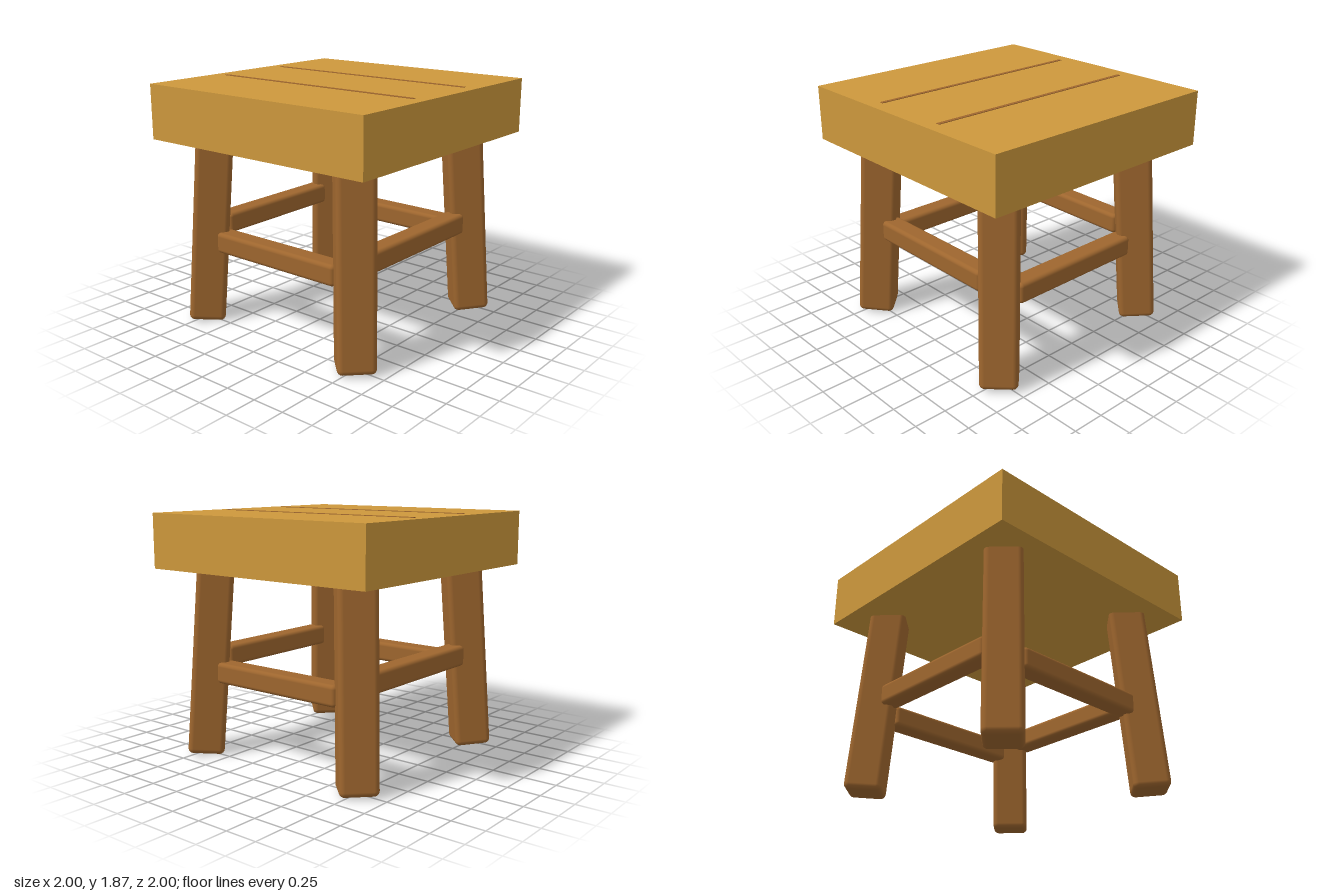
import * as THREE from 'three';
import { RoundedBoxGeometry } from 'three/addons/geometries/RoundedBoxGeometry.js';

export function createModel() {
  const stool = new THREE.Group();
  stool.name = 'stool';

  const seatWood = new THREE.MeshStandardMaterial({ color: 0xcd983c });
  seatWood.name = 'light wood';
  const legWood = new THREE.MeshStandardMaterial({ color: 0x9e662e });
  legWood.name = 'brown wood';

  const add = (name, geometry, material, x, y, z) => {
    const mesh = new THREE.Mesh(geometry, material);
    mesh.name = name;
    mesh.position.set(x, y, z);
    stool.add(mesh);
    return mesh;
  };

  // Square seat slab
  const seatTop = 1.87, seatBottom = 1.45;
  add('seat', new THREE.BoxGeometry(2, seatTop - seatBottom, 2), seatWood, 0, (seatTop + seatBottom) / 2, 0);

  // Two plank seams across the top
  for (const side of [-1, 1]) {
    add('plankSeam', new THREE.BoxGeometry(1.8, 0.008, 0.03), legWood, 0, seatTop, side * 0.32);
  }

  // Splayed legs, turned so their flat faces look along the diagonals
  const legLength = 1.6, splay = 0.0535, foot = 0.752;
  const legGeometry = new RoundedBoxGeometry(0.28, legLength, 0.28, 4, 0.04);
  const up = new THREE.Vector3(0, 1, 0);
  const turn = new THREE.Quaternion().setFromAxisAngle(up, Math.PI / 4);
  for (const sx of [-1, 1]) {
    for (const sz of [-1, 1]) {
      const axis = new THREE.Vector3(-sx * splay, 1, -sz * splay).normalize();
      const name = (sz > 0 ? 'front' : 'back') + (sx > 0 ? 'Left' : 'Right') + 'Leg';
      const leg = add(name, legGeometry, legWood, sx * foot, 0.008, sz * foot);
      leg.position.addScaledVector(axis, legLength / 2);
      leg.quaternion.setFromUnitVectors(up, axis).multiply(turn);
    }
  }

  // Stretchers: front and back pair lower, side pair higher
  const barGeometry = new RoundedBoxGeometry(1.16, 0.16, 0.16, 4, 0.03);
  for (const side of [-1, 1]) {
    add(side > 0 ? 'frontStretcher' : 'backStretcher', barGeometry, legWood, 0, 0.66, side * 0.71);
    add(side > 0 ? 'leftStretcher' : 'rightStretcher', barGeometry, legWood, side * 0.71, 0.75, 0)
      .rotation.y = Math.PI / 2;
  }

  return stool;
}
